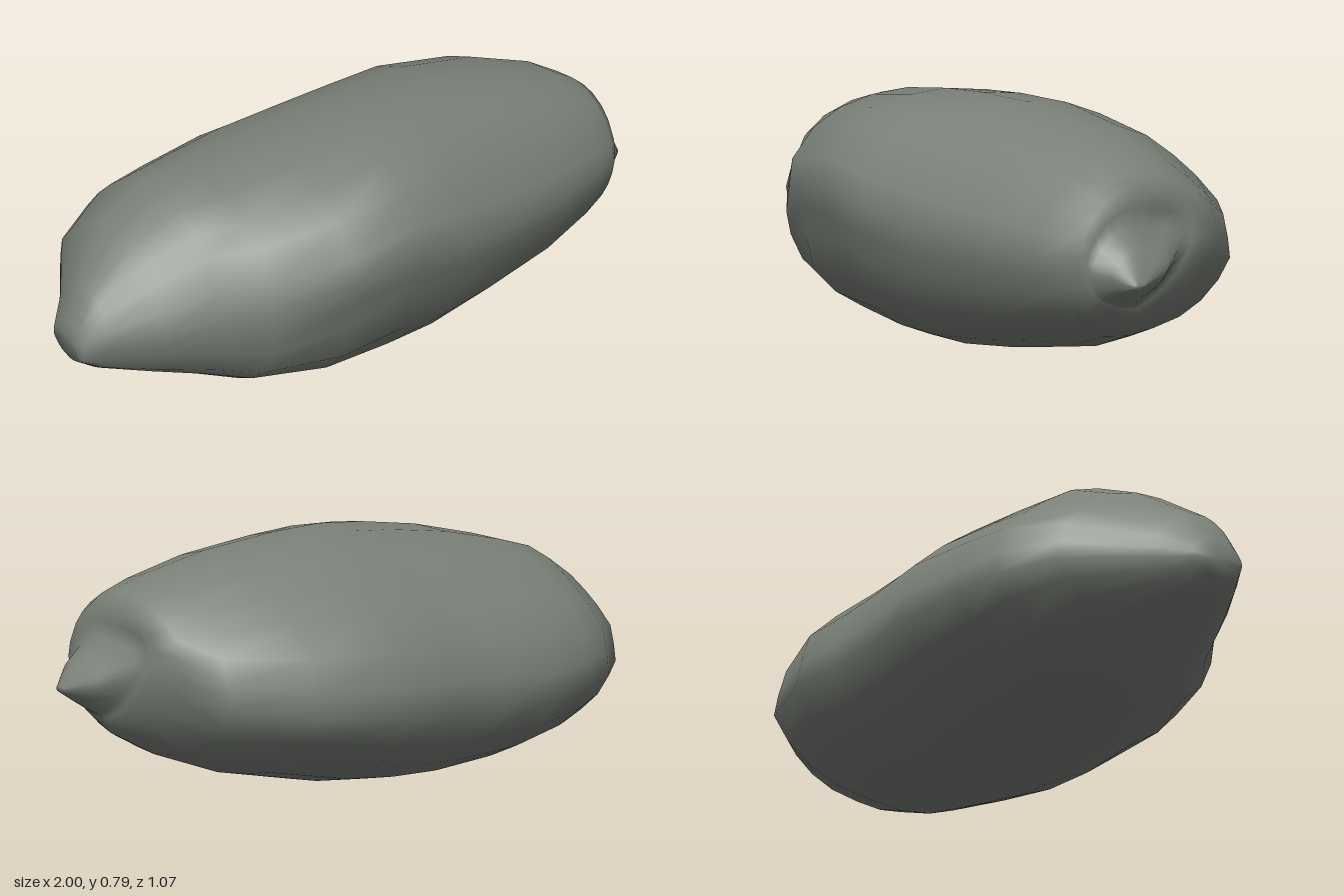
import * as THREE from 'three';

// Tilted cross-section of the stone as [z, y], from the crown over the front and under to the back
const OUTLINE = [
  [.1, .79], [.23, .78], [.35, .75], [.44, .7], [.52, .61], [.545, .53], [.53, .44], [.5, .34],
  [.45, .22], [.37, .13], [.27, .06], [.16, .015], [.03, 0], [-.11, .015], [-.26, .045], [-.38, .1],
  [-.48, .18], [-.545, .27], [-.53, .36], [-.5, .47], [-.4, .57], [-.3, .65], [-.18, .73], [-.05, .775],
];

// Extents along the length: x, back z, front z, lowest y, highest y
const SECTIONS = [
  [-1, -.01, .16, .28, .4],
  [-.94, -.08, .2, .235, .5],
  [-.8, -.32, .285, .165, .61],
  [-.65, -.43, .36, .1, .69],
  [-.53, -.475, .45, .06, .72],
  [-.31, -.53, .54, .02, .76],
  [-.08, -.525, .535, .003, .782],
  [.1, -.525, .515, .01, .79],
  [.3, -.54, .468, .037, .782],
  [.57, -.475, .415, .095, .745],
  [.77, -.33, .35, .17, .69],
  [.85, -.22, .32, .22, .65],
  [.89, -.14, .28, .26, .62],
  [.895, -.1, .26, .28, .56],
  [.905, -.05, .25, .29, .51],
  [.955, .03, .22, .325, .46],
  [1, .14, .18, .36, .38],
];

const bell = (d, width) => Math.exp(-((d / width) ** 2));

// Place one outline point in a section, then weather it
function weather(x, [z0, z1, y0, y1], [oz, oy]) {
  const u = oz / .545, t = oy / .79;
  let z = (z0 + z1) / 2 + u * (z1 - z0) / 2;
  let y = y0 + t * (y1 - y0);

  if (u > 0) {
    // The front nose sits lower away from the middle bulge
    const sink = .085 * (1 - bell(x + .15, .28)) * Math.min(1, (y1 - y0) / .5);
    y -= sink * u * u * (1 - (1 - t) ** 6);
    // Shallow valley running diagonally down the front flank
    z -= .04 * u * bell(y - (.27 - .37 * x), .11) * bell(x + .38, .4);
  } else {
    // Raised back shoulder at the left end
    y -= .08 * u * bell(x - .88, .07) * (1 - t ** 6);
  }

  // Notch between that shoulder and the left tip
  const notch = x > .86 ? .03 * bell(z + .02, .12) * bell(y - .5, .06) : 0;
  return [x - notch, y, z];
}

function stoneGeometry() {
  const n = OUTLINE.length;
  const pos = [];
  const index = [];

  // Rings of points along the length
  for (const [x, ...extents] of SECTIONS) {
    for (const point of OUTLINE) pos.push(...weather(x, extents, point));
  }

  // Skin between neighbouring sections
  for (let i = 0; i < SECTIONS.length - 1; i++) {
    for (let j = 0; j < n; j++) {
      const a = i * n + j, b = i * n + (j + 1) % n;
      index.push(a, b, a + n, b, b + n, a + n);
    }
  }

  // Close both tips
  for (const end of [0, SECTIONS.length - 1]) {
    const [x, z0, z1, y0, y1] = SECTIONS[end];
    const centre = pos.length / 3;
    pos.push(x, (y0 + y1) / 2, (z0 + z1) / 2);
    for (let j = 0; j < n; j++) {
      const a = end * n + j, b = end * n + (j + 1) % n;
      if (end === 0) index.push(centre, b, a);
      else index.push(centre, a, b);
    }
  }

  const geometry = new THREE.BufferGeometry();
  geometry.setAttribute('position', new THREE.Float32BufferAttribute(pos, 3));
  geometry.setIndex(index);
  geometry.computeVertexNormals();
  return geometry;
}

export function createModel() {
  const group = new THREE.Group();
  group.name = 'rock';
  const stone = new THREE.Mesh(stoneGeometry(), new THREE.MeshStandardMaterial({ color: 0x7a8078 }));
  stone.name = 'stone';
  group.add(stone);
  return group;
}
